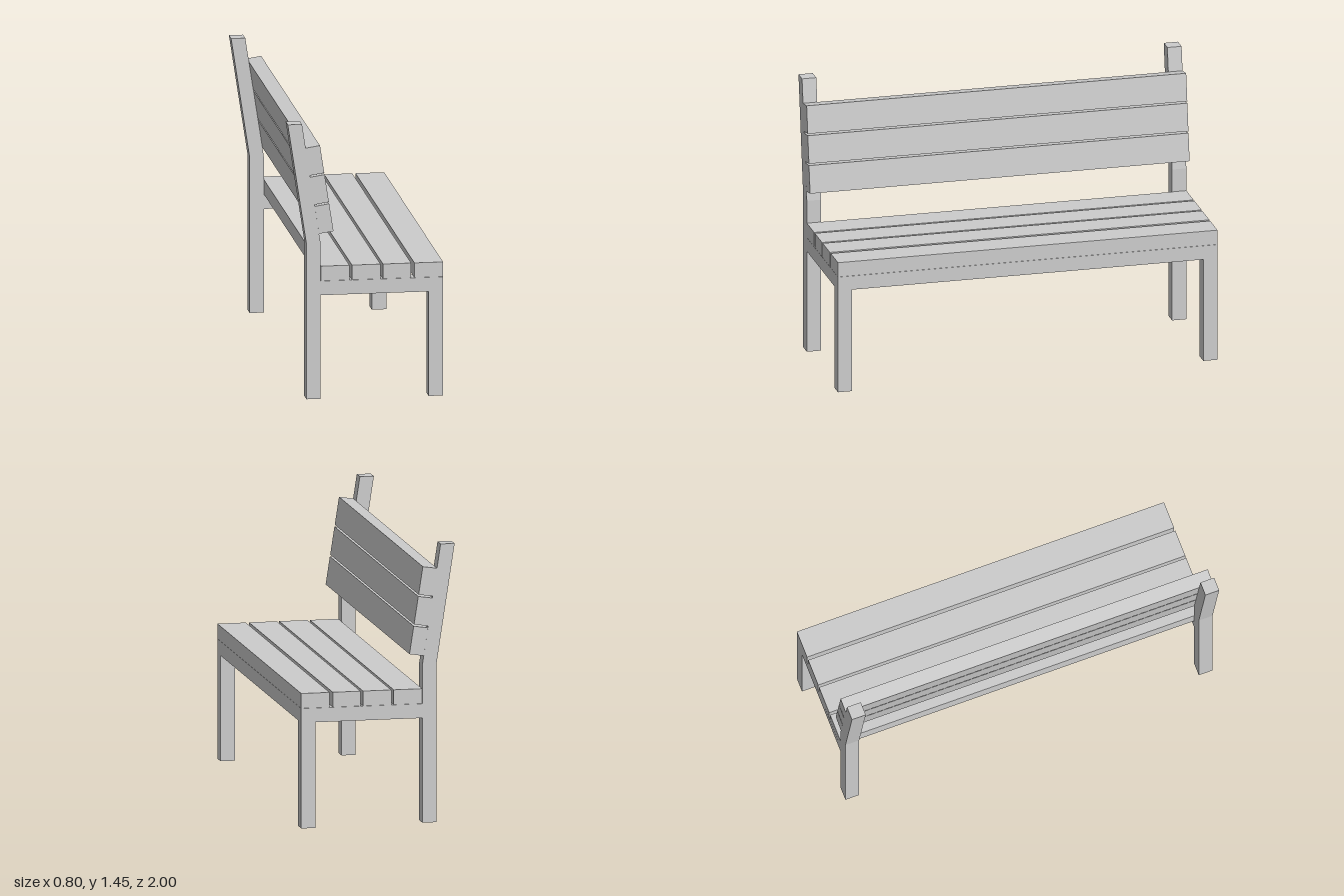
import * as THREE from 'three';

const material = new THREE.MeshStandardMaterial({ color: 0xcccccc, flatShading: true });

// Box given by its x, y and z ranges
function beam(name, [x0, x1], [y0, y1], [z0, z1]) {
  const mesh = new THREE.Mesh(new THREE.BoxGeometry(x1 - x0, y1 - y0, z1 - z0), material);
  mesh.position.set((x0 + x1) / 2, (y0 + y1) / 2, (z0 + z1) / 2);
  mesh.name = name;
  return mesh;
}

export function createModel() {
  const bench = new THREE.Group();
  bench.name = 'bench';

  const T = 0.075;                  // timber thickness
  const railY = [0.548, 0.622];

  // Rear post: upright leg that leans back above the seat
  const postShape = new THREE.Shape([
    [-0.305, 0.005], [-0.232, 0.005], [-0.232, 0.82],
    [-0.328, 1.447], [-0.401, 1.447], [-0.305, 0.82],
  ].map(([x, y]) => new THREE.Vector2(x, y)));
  const postGeometry = new THREE.ExtrudeGeometry(postShape, { depth: T, bevelEnabled: false });

  // Two end frames
  for (const [side, z0] of [['near', 1 - T], ['far', -1]]) {
    const frame = new THREE.Group();
    frame.name = side + 'EndFrame';
    const zs = [z0, z0 + T];
    const post = new THREE.Mesh(postGeometry, material);
    post.name = 'rearPost';
    post.position.z = z0;
    frame.add(
      post,
      beam('frontLeg', [0.325, 0.4], [0, railY[0]], zs),
      beam('sideRail', [-0.232, 0.4], railY, zs),
    );
    bench.add(frame);
  }

  // Long rail under the front edge of the seat
  bench.add(beam('frontRail', [0.325, 0.4], railY, [-1 + T, 1 - T]));

  // Seat slats
  [[-0.231, -0.083], [-0.07, 0.077], [0.09, 0.235], [0.252, 0.4]].forEach((xs, i) =>
    bench.add(beam('seatSlat' + (i + 1), xs, [0.623, 0.7], [-1, 1])));

  // Back slats, square to the leaning posts
  const lean = Math.atan2(0.096, 0.627);
  for (let i = 0; i < 3; i++) {
    const slat = new THREE.Mesh(new THREE.BoxGeometry(T, 0.146, 2), material);
    slat.name = 'backSlat' + (i + 1);
    slat.position.set(-0.2135 - 0.0238 * i, 0.948 + 0.1535 * i, 0);
    slat.rotation.z = lean;
    bench.add(slat);
  }

  return bench;
}
